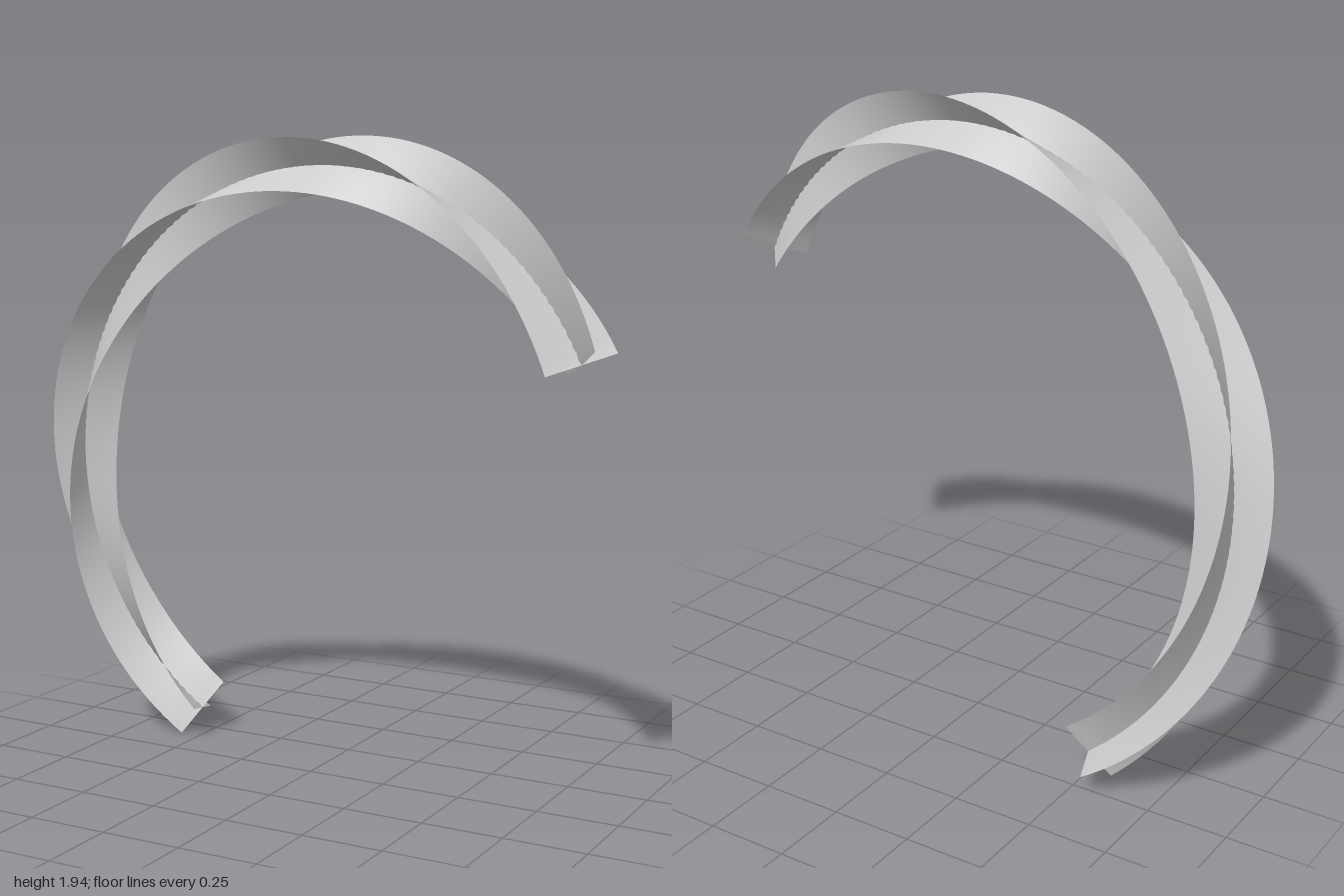
import * as THREE from 'three';

const RAD = Math.PI / 180;
const START = 27.8 * RAD, END = 233.4 * RAD;    // sweep of the arc
const SEGMENTS = 100, HALF_WIDTH = 0.11;
const TWIST_START = 45 * RAD, TWIST = -294 * RAD;

// Centreline: a slightly oval arc drifting from front to back
function spine(t) {
  const a = THREE.MathUtils.lerp(START, END, t);
  const r = 0.973 + 0.01 * Math.cos(2 * (a - 75 * RAD));
  return new THREE.Vector3(0.073 + r * Math.cos(a), 0.866 + r * Math.sin(a), 0.2 - 0.385 * t);
}

// Direction across the strip, twisting around the centreline
function across(t, offset) {
  const a = THREE.MathUtils.lerp(START, END, t);
  const radial = new THREE.Vector3(Math.cos(a), Math.sin(a), 0);
  const tangent = spine(t + 0.001).sub(spine(t - 0.001)).normalize();
  const binormal = radial.clone().cross(tangent).normalize();
  const phi = TWIST_START + TWIST * t + offset;
  return radial.multiplyScalar(Math.cos(phi)).addScaledVector(binormal, Math.sin(phi));
}

// One flat twisted strip
function ribbon(offset) {
  const positions = [], index = [];
  for (let i = 0; i <= SEGMENTS; i++) {
    const t = i / SEGMENTS, side = across(t, offset);
    for (const s of [-1, 1]) positions.push(...spine(t).addScaledVector(side, s * HALF_WIDTH).toArray());
    if (i < SEGMENTS) {
      const k = 2 * i;
      index.push(k, k + 1, k + 2, k + 1, k + 3, k + 2);
    }
  }
  const geometry = new THREE.BufferGeometry();
  geometry.setAttribute('position', new THREE.Float32BufferAttribute(positions, 3));
  geometry.setIndex(index);
  geometry.computeVertexNormals();
  return geometry;
}

export function createModel() {
  const group = new THREE.Group();
  group.name = 'twistedCrossArc';
  const material = new THREE.MeshStandardMaterial({ color: 0xcccccc, side: THREE.DoubleSide });
  // Two strips crossing at a right angle
  ['firstRibbon', 'secondRibbon'].forEach((name, i) => {
    const mesh = new THREE.Mesh(ribbon(i * Math.PI / 2), material);
    mesh.name = name;
    group.add(mesh);
  });
  return group;
}
